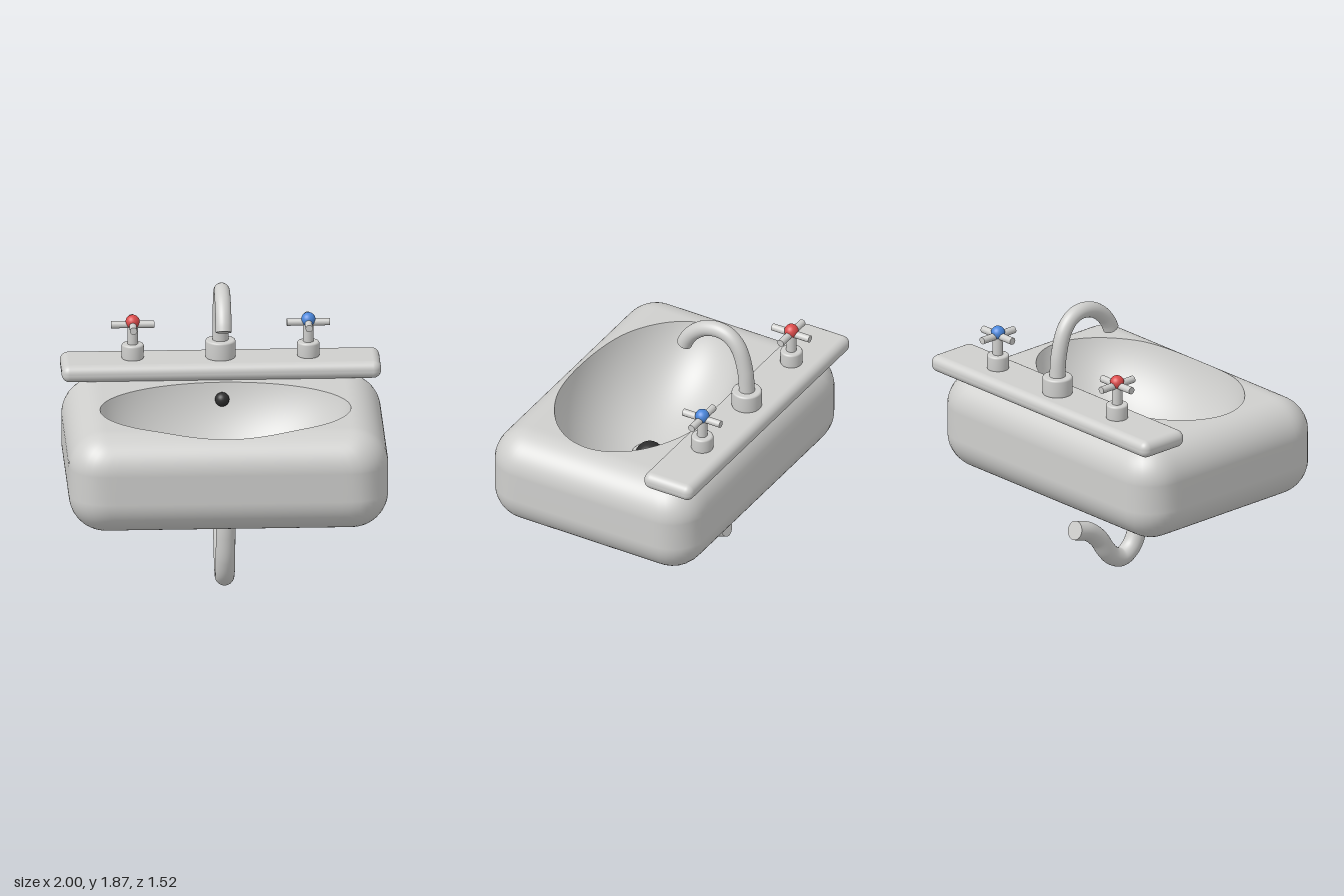
import * as THREE from 'three';
import { RoundedBoxGeometry } from 'three/addons/geometries/RoundedBoxGeometry.js';

const TOP = 1.22, BOTTOM = 0.577, HX = 1, HZ = 0.743, CZ = 0.017, R = 0.23; // basin block
const BOWL_Z = 0.125, BOWL_RX = 0.785, BOWL_RZ = 0.515, BOWL_Y = 0.7;       // oval bowl
const BOWL_ARC = 1.3, SEG = 160, FITTING_Z = -0.58;

// Distance from the inner core of the rounded block, seen from above
function coreDistance(x, z) {
  const dx = Math.max(Math.abs(x) - (HX - R), 0);
  const dz = Math.max(Math.abs(z - CZ) - (HZ - R), 0);
  return Math.hypot(dx, dz);
}
const bulge = (x, z) => Math.sqrt(Math.max(R * R - coreDistance(x, z) ** 2, 0));
const topY = (x, z) => TOP - R + bulge(x, z);
const bottomY = (x, z) => BOTTOM + R - bulge(x, z);

// Point on the ray of angle a; k = 1 lies on the bowl's rim
const rayPoint = (a, k) => [BOWL_RX * Math.cos(a) * k, BOWL_Z + BOWL_RZ * Math.sin(a) * k];

// How far along the ray the block's outline lies
function outlineK(a) {
  let lo = 1, hi = 4;
  for (let i = 0; i < 40; i++) {
    const mid = (lo + hi) / 2;
    if (coreDistance(...rayPoint(a, mid)) < R) lo = mid; else hi = mid;
  }
  return lo;
}

// Skin a stack of closed rings; point(i, a) returns [x, y, z]
function ringSurface(rings, point) {
  const pos = [], index = [];
  for (let i = 0; i <= rings; i++) {
    for (let j = 0; j < SEG; j++) pos.push(...point(i, (j / SEG) * Math.PI * 2));
  }
  for (let i = 0; i < rings; i++) {
    for (let j = 0; j < SEG; j++) {
      const a = i * SEG + j, b = i * SEG + ((j + 1) % SEG);
      index.push(a, b, a + SEG, b, b + SEG, a + SEG);
    }
  }
  const g = new THREE.BufferGeometry();
  g.setAttribute('position', new THREE.Float32BufferAttribute(pos, 3));
  g.setIndex(index);
  g.computeVertexNormals();
  return g;
}

function shellGeometry() {
  const n = 32;
  return ringSurface(2 * n + 1, (i, a) => {
    const outer = outlineK(a), upper = i <= n;
    const k = upper
      ? 1 + (outer - 1) * Math.sin((i / n) * Math.PI / 2)
      : outer * Math.max(Math.cos(((i - n - 1) / n) * Math.PI / 2), 0.001);
    const [x, z] = rayPoint(a, k);
    return [x, upper ? topY(x, z) : bottomY(x, z), z];
  });
}

// Shallow cap of an ellipsoid, meeting the shell along the rim
function bowlGeometry() {
  const n = 40;
  return ringSurface(n, (i, a) => {
    const s = Math.max(i / n, 0.001) * BOWL_ARC;
    const [x, z] = rayPoint(a, Math.sin(s) / Math.sin(BOWL_ARC));
    const rim = topY(...rayPoint(a, 1));
    return [x, BOWL_Y + (rim - BOWL_Y) * (1 - Math.cos(s)) / (1 - Math.cos(BOWL_ARC)), z];
  });
}

export function createModel() {
  const model = new THREE.Group();
  model.name = 'washbasin';

  const material = (name, color) => {
    const m = new THREE.MeshStandardMaterial({ color });
    m.name = name;
    return m;
  };
  const grey = material('ceramic grey', 0xcfcfcd);
  const dark = material('drain black', 0x2e2e2e);
  const red = material('hot red', 0xda4a4a);
  const blue = material('cold blue', 0x4a86da);

  function add(name, geometry, mat, x = 0, y = 0, z = 0, parent = model) {
    const mesh = new THREE.Mesh(geometry, mat);
    mesh.name = name;
    mesh.position.set(x, y, z);
    parent.add(mesh);
    return mesh;
  }

  // Upright turned post between two heights, with softened rims
  function post(name, r, y0, y1, z, parent) {
    const b = 0.012, h = y1 - y0;
    const profile = [[0, 0], [r - b, 0], [r - b * 0.3, b * 0.3], [r, b],
      [r, h - b], [r - b * 0.3, h - b * 0.3], [r - b, h], [0, h]];
    const points = profile.map(([x, y]) => new THREE.Vector2(x, y));
    add(name, new THREE.LatheGeometry(points, 40), grey, 0, y0, z, parent);
  }

  // Bent pipe in the x = 0 plane through [z, y] points, with closed ends
  function pipe(name, points, r) {
    const group = new THREE.Group();
    group.name = name;
    model.add(group);
    const curve = new THREE.CatmullRomCurve3(points.map(([z, y]) => new THREE.Vector3(0, y, z)));
    add(name + 'Tube', new THREE.TubeGeometry(curve, 80, r, 28), grey, 0, 0, 0, group);
    for (const t of [0, 1]) {
      const p = curve.getPoint(t);
      const cap = add(name + 'End', new THREE.CircleGeometry(r, 28), grey, p.x, p.y, p.z, group);
      cap.lookAt(p.clone().addScaledVector(curve.getTangent(t), t ? 1 : -1));
    }
  }

  // Basin block, bowl and back ledge
  add('basinShell', shellGeometry(), grey);
  add('bowl', bowlGeometry(), grey);
  add('ledge', new RoundedBoxGeometry(2, 0.11, 0.352, 6, 0.05), grey, 0, 1.271, FITTING_Z);

  // Drain fitting and overflow hole
  post('drainRing', 0.115, BOWL_Y - 0.02, BOWL_Y + 0.025, BOWL_Z);
  add('drainPlug', new THREE.SphereGeometry(0.092, 32, 20), dark, 0, BOWL_Y, BOWL_Z);
  add('overflowHole', new THREE.SphereGeometry(0.045, 24, 16), dark, 0, 1.122, -0.345);

  // Spout
  post('spoutCollar', 0.095, 1.32, 1.44, FITTING_Z);
  pipe('spout', [[-0.582, 1.42], [-0.568, 1.58], [-0.522, 1.73], [-0.46, 1.798], [-0.38, 1.822],
    [-0.28, 1.803], [-0.197, 1.745], [-0.15, 1.685], [-0.127, 1.638]], 0.05);

  // Taps with cross handles, hot on the right and cold on the left
  for (const [name, x, mat] of [['hotTap', -0.55, red], ['coldTap', 0.55, blue]]) {
    const tap = new THREE.Group();
    tap.name = name;
    tap.position.set(x, 0, FITTING_Z);
    model.add(tap);
    post('tapBase', 0.07, 1.32, 1.42, 0, tap);
    post('tapStem', 0.033, 1.41, 1.565, 0, tap);
    const bar = new THREE.CylinderGeometry(0.023, 0.023, 0.27, 20);
    add('handleBarAcross', bar, grey, 0, 1.546, 0, tap).rotation.z = Math.PI / 2;
    add('handleBarDeep', bar, grey, 0, 1.546, 0, tap).rotation.x = Math.PI / 2;
    add('tapKnob', new THREE.SphereGeometry(0.045, 28, 18), mat, 0, 1.563, 0, tap);
  }

  // Waste pipe under the basin
  post('wasteNeck', 0.065, 0.54, 0.6, 0.13);
  post('wasteNut', 0.096, 0.464, 0.561, 0.13);
  pipe('wastePipe', [[0.13, 0.55], [0.125, 0.38], [0.1, 0.22], [0.045, 0.11], [-0.035, 0.064],
    [-0.11, 0.09], [-0.17, 0.15], [-0.23, 0.237], [-0.32, 0.312], [-0.432, 0.35]], 0.061);

  return model;
}
